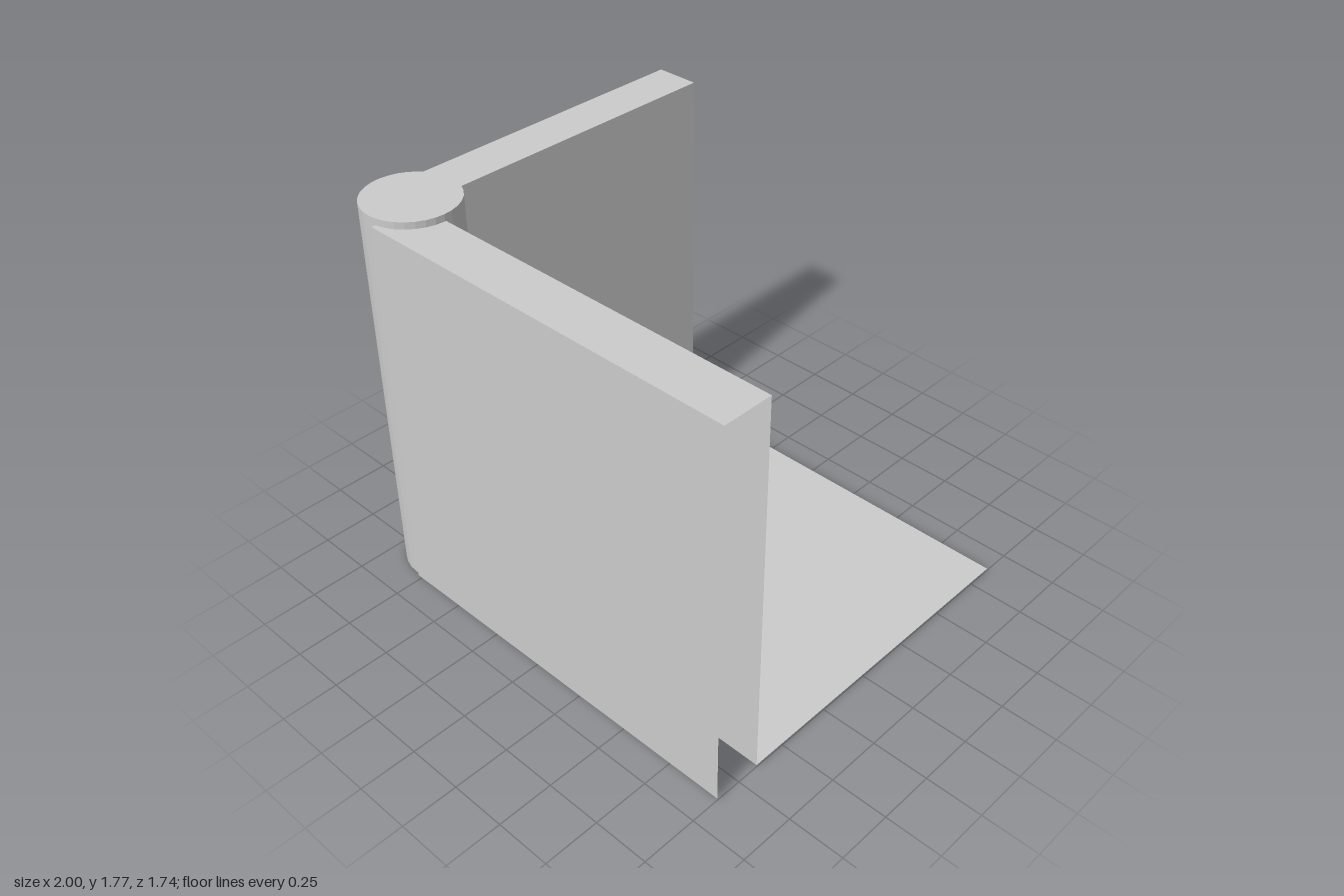
import * as THREE from 'three';

const Y0 = 0.01, Y1 = 1.74; // bottom and top of the walls
const grey = (options = {}) => new THREE.MeshStandardMaterial({ color: 0xcccccc, ...options });

// Thin sheet of the given size, turned and placed
function sheet(name, w, h, position, rotation = [0, 0, 0]) {
  const mesh = new THREE.Mesh(new THREE.PlaneGeometry(w, h), grey({ side: THREE.DoubleSide }));
  mesh.name = name;
  mesh.position.set(...position);
  mesh.rotation.set(...rotation);
  return mesh;
}

// Hollow wall along local x: outer skin at +z, inner skin at -z, top cap; ends and bottom open
function hollowWall(name, length, thickness) {
  const wall = new THREE.Group();
  wall.name = name;
  const height = Y1 - Y0, midY = (Y0 + Y1) / 2;
  wall.add(
    sheet('outerFace', length, height, [0, midY, thickness / 2]),
    sheet('innerFace', length, height, [0, midY, -thickness / 2], [0, Math.PI, 0]),
    sheet('topFace', length, thickness, [0, Y1, 0], [-Math.PI / 2, 0, 0])
  );
  return wall;
}

export function createModel() {
  const model = new THREE.Group();
  model.name = 'roomCorner';

  // Front wall
  const frontWall = hollowWall('frontWall', 1.765, 0.22);
  frontWall.position.set(0.1175, 0, 0.76);
  model.add(frontWall);

  // Side wall, outer skin facing -x
  const sideWall = hollowWall('sideWall', 1.52, 0.2);
  sideWall.rotation.y = -Math.PI / 2;
  sideWall.position.set(-0.87, 0, -0.11);
  model.add(sideWall);

  // Floor between the walls
  model.add(sheet('floor', 1.77, 1.52, [0.115, Y0, -0.11], [-Math.PI / 2, 0, 0]));

  // Round corner column
  const column = new THREE.Mesh(
    new THREE.CylinderGeometry(0.2, 0.2, 1.77, 32),
    grey({ flatShading: true })
  );
  column.name = 'cornerColumn';
  column.position.set(-0.8, 0.885, 0.655);
  model.add(column);

  return model;
}
